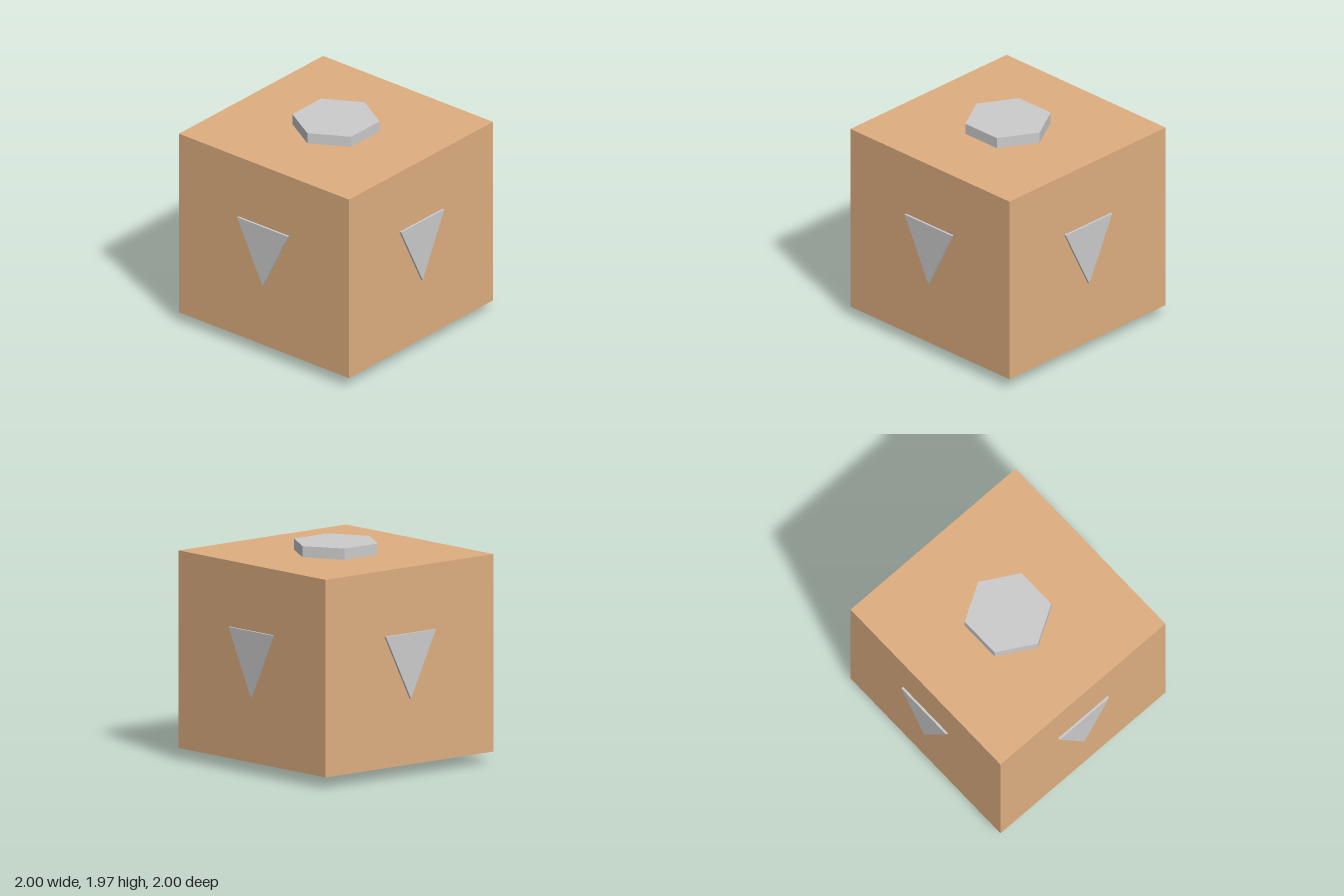
import * as THREE from 'three';

export function createModel() {
  const model = new THREE.Group();
  const wood = new THREE.MeshStandardMaterial({ color: 0xdeae80, flatShading: true });
  const grey = new THREE.MeshStandardMaterial({ color: 0xcccccc, flatShading: true });
  const half = 0.98, bottom = 0.1, top = 1.865, height = 1.965;

  function add(name, geometry, material, parent = model) {
    const mesh = new THREE.Mesh(geometry, material);
    mesh.name = name;
    parent.add(mesh);
    return mesh;
  }

  // Main block
  add('block', new THREE.BoxGeometry(2 * half, top - bottom, 2 * half), wood)
    .position.y = (top + bottom) / 2;

  // Hexagonal plates above and below, corners pointing along z
  const embed = 0.01;
  const plateHeight = 0.1 + embed;
  const plate = new THREE.CylinderGeometry(0.39, 0.39, plateHeight, 6);
  add('topPlate', plate, grey).position.y = height - plateHeight / 2;
  add('bottomPlate', plate, grey).position.y = plateHeight / 2;

  // Downward-pointing triangular plaque on each side
  const triangle = new THREE.Shape([
    new THREE.Vector2(0, 0.69),
    new THREE.Vector2(0.293, 1.277),
    new THREE.Vector2(-0.293, 1.277),
  ]);
  const plaque = new THREE.ExtrudeGeometry(triangle, { depth: 1 - half + embed, bevelEnabled: false });
  plaque.translate(0, 0, half - embed);
  ['front', 'left', 'back', 'right'].forEach((side, i) => {
    add(side + 'Triangle', plaque, grey).rotation.y = i * Math.PI / 2;
  });

  return model;
}
